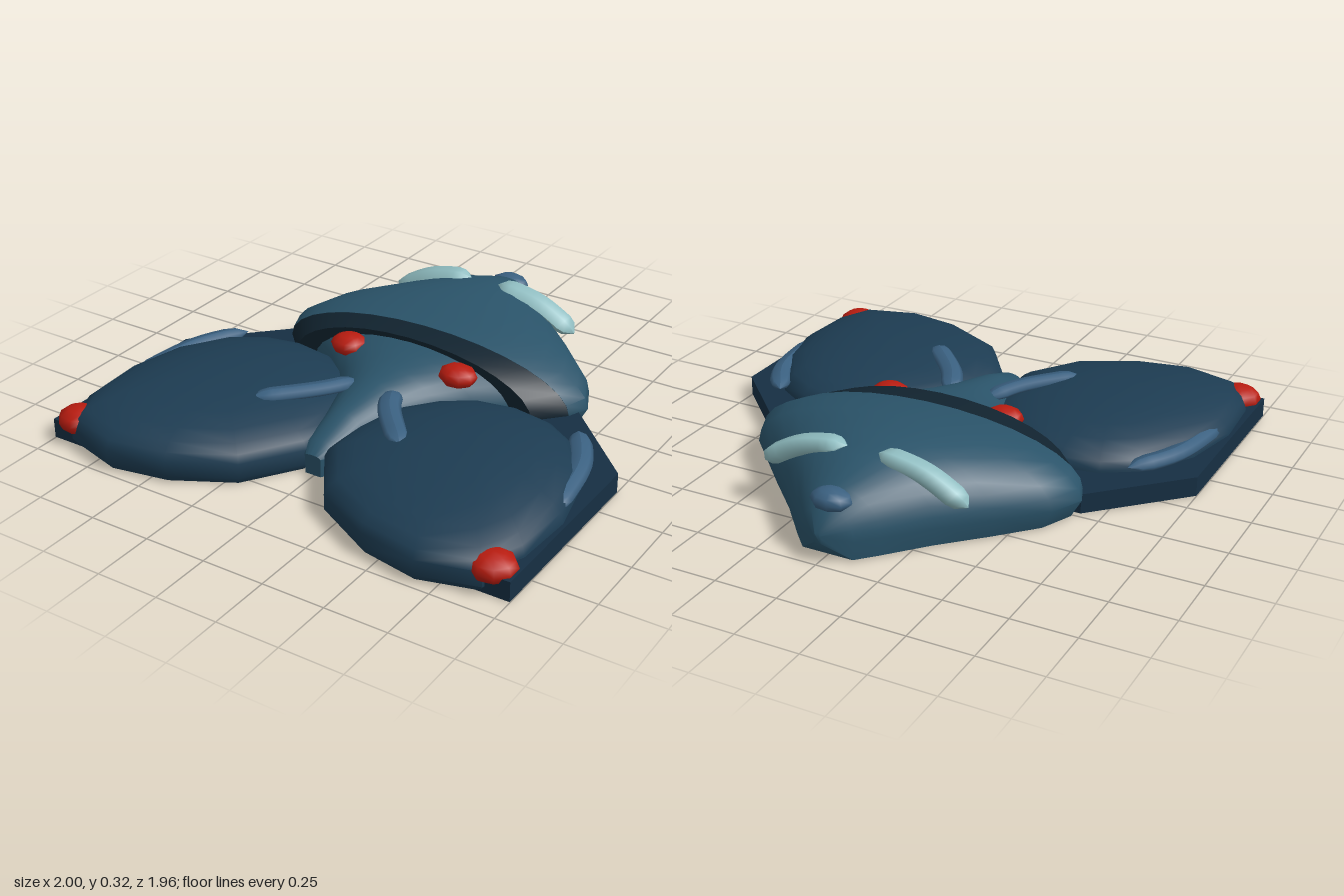
import * as THREE from 'three';
import { toCreasedNormals } from 'three/addons/utils/BufferGeometryUtils.js';

const mat = (color) => new THREE.MeshStandardMaterial({ color });
const SHELL = mat(0x2a5369), POD = mat(0x1d3c52), PLATE = mat(0x162f43), RIM = mat(0x11232f);
const RIDGE = mat(0x3a6080), BAR = mat(0x92c0c4), RED = mat(0xb81c10);

function add(parent, name, geometry, material) {
  const mesh = new THREE.Mesh(geometry, material);
  mesh.name = name;
  parent.add(mesh);
  return mesh;
}

// Closed skin over a list of equal-length rings, capped at both ends
function loft(rings, crease = 0.8) {
  const n = rings[0].length, last = (rings.length - 1) * n, index = [];
  for (let i = 0; i < rings.length - 1; i++) {
    for (let j = 0; j < n; j++) {
      const a = i * n + j, b = i * n + (j + 1) % n;
      index.push(a, b, b + n, a, b + n, a + n);
    }
  }
  for (let j = 1; j < n - 1; j++) index.push(0, j + 1, j, last, last + j, last + j + 1);
  const g = new THREE.BufferGeometry();
  g.setAttribute('position', new THREE.Float32BufferAttribute(rings.flat(2), 3));
  g.setIndex(index);
  return toCreasedNormals(g, crease);
}

// Domed cross-section: flat base, widest at y = mid, elliptical arch above
function archRing([z, w, h, base = 0.006, mid = 0.08], sides = 16) {
  const ring = [[-w * 0.94, base, z], [w * 0.94, base, z]];
  for (let i = 0; i <= sides; i++) {
    const a = (i / sides) * Math.PI;
    ring.push([w * Math.cos(a), mid + (h - mid) * Math.sin(a), z]);
  }
  return ring;
}
const archLoft = (stations) => loft(stations.map((s) => archRing(s)));

// Tube with tapered ends along a curve, flattened in height
function ridge(points, radius, flat, sides = 8) {
  const curve = new THREE.CatmullRomCurve3(points.map((p) => new THREE.Vector3(...p)));
  const seg = 12, g = new THREE.TubeGeometry(curve, seg, radius, sides);
  const pos = g.attributes.position, v = new THREE.Vector3();
  for (let i = 0; i < pos.count; i++) {
    const u = Math.floor(i / (sides + 1)) / seg;
    const c = curve.getPointAt(u);
    const end = Math.min(u, 1 - u);
    const k = end === 0 ? 0.02 : end < 0.1 ? 0.8 : 1;
    v.fromBufferAttribute(pos, i).sub(c).multiplyScalar(k);
    pos.setXYZ(i, c.x + v.x, c.y + v.y * flat, c.z + v.z);
  }
  g.computeVertexNormals();
  return g;
}

function knob(parent, name, material, position, size) {
  const mesh = add(parent, name, new THREE.SphereGeometry(1, 9, 6), material);
  mesh.position.set(...position);
  mesh.scale.set(...size);
}

// Everything on the +x side
function createSide() {
  const side = new THREE.Group();

  // Flat base plate
  const shape = new THREE.Shape([
    [0.3, -0.23], [0.67, -0.23], [1, 0.1], [1, 0.9], [0.67, 0.9], [0.3, 0.7],
  ].map((p) => new THREE.Vector2(...p)));
  const plate = new THREE.ExtrudeGeometry(shape, { depth: 0.079, bevelEnabled: false });
  plate.rotateX(Math.PI / 2).translate(0, 0.082, 0);
  add(side, 'basePlate', plate, PLATE);

  // Rounded front pod: one outline shrunk towards its centre as it rises
  const outline = [
    [0.67, 0.975], [0.9, 0.91], [0.97, 0.75], [0.985, 0.5], [0.93, 0.25],
    [0.8, 0.05], [0.66, -0.04], [0.5, -0.07], [0.33, -0.04], [0.2, 0.05],
    [0.08, 0.2], [0.04, 0.4], [0.04, 0.58], [0.19, 0.8], [0.43, 0.93],
  ];
  const cx = 0.54, cz = 0.42;
  const layers = [[0.96, 0], [1, 0.03], [1, 0.09]];
  for (const s of [0.97, 0.9, 0.78, 0.6, 0.4, 0.2]) layers.push([s, 0.09 + 0.132 * Math.sqrt(1 - s * s)]);
  const rings = layers.map(([s, y]) => outline.map(([x, z]) => [cx + (x - cx) * s, y, cz + (z - cz) * s]));
  add(side, 'frontPod', loft(rings, 0.9), POD);

  // Raised ridges on the pod
  add(side, 'innerRidge', ridge([[0.08, 0.185, 0.17], [0.15, 0.195, 0.31], [0.33, 0.2, 0.52]], 0.045, 0.5), RIDGE);
  add(side, 'outerRidge', ridge([[0.77, 0.125, -0.03], [0.88, 0.12, 0.17], [0.935, 0.11, 0.5]], 0.045, 0.6), RIDGE);

  // Pale bar across the rear shell
  add(side, 'shellBar', ridge([[0.065, 0.302, -0.66], [0.25, 0.265, -0.66], [0.425, 0.17, -0.66]], 0.052, 0.7, 6), BAR);

  // Red lamps beside the neck and on the outer front corner
  knob(side, 'innerLamp', RED, [0.25, 0.215, -0.02], [0.08, 0.045, 0.07]);
  knob(side, 'cornerLamp', RED, [0.905, 0.088, 0.85], [0.092, 0.055, 0.085]);
  return side;
}

export function createModel() {
  const model = new THREE.Group();
  model.name = 'lowCraft';

  // Domed rear shell
  add(model, 'rearShell', archLoft([
    [-0.985, 0.015, 0.12, 0.08, 0.1], [-0.92, 0.11, 0.19], [-0.85, 0.18, 0.245],
    [-0.7, 0.32, 0.3], [-0.55, 0.48, 0.32], [-0.4, 0.63, 0.325],
    [-0.27, 0.69, 0.31], [-0.18, 0.655, 0.295],
  ]), SHELL);

  // Dark rim closing the front of the shell
  add(model, 'shellRim', archLoft([[-0.181, 0.655, 0.294], [-0.07, 0.55, 0.287]]), RIM);

  // Tapering neck between the pods
  add(model, 'neck', archLoft([
    [-0.1, 0.5, 0.275], [0, 0.35, 0.255], [0.1, 0.24, 0.238], [0.2, 0.165, 0.22],
    [0.4, 0.1, 0.18], [0.55, 0.07, 0.13], [0.6, 0.035, 0.09],
  ]), SHELL);

  // Small stud at the tail
  knob(model, 'tailStud', RIDGE, [0, 0.205, -0.88], [0.083, 0.043, 0.065]);

  // Mirrored halves
  const left = createSide();
  left.name = 'leftSide';
  const right = createSide();
  right.name = 'rightSide';
  right.scale.x = -1;
  model.add(left, right);
  return model;
}
